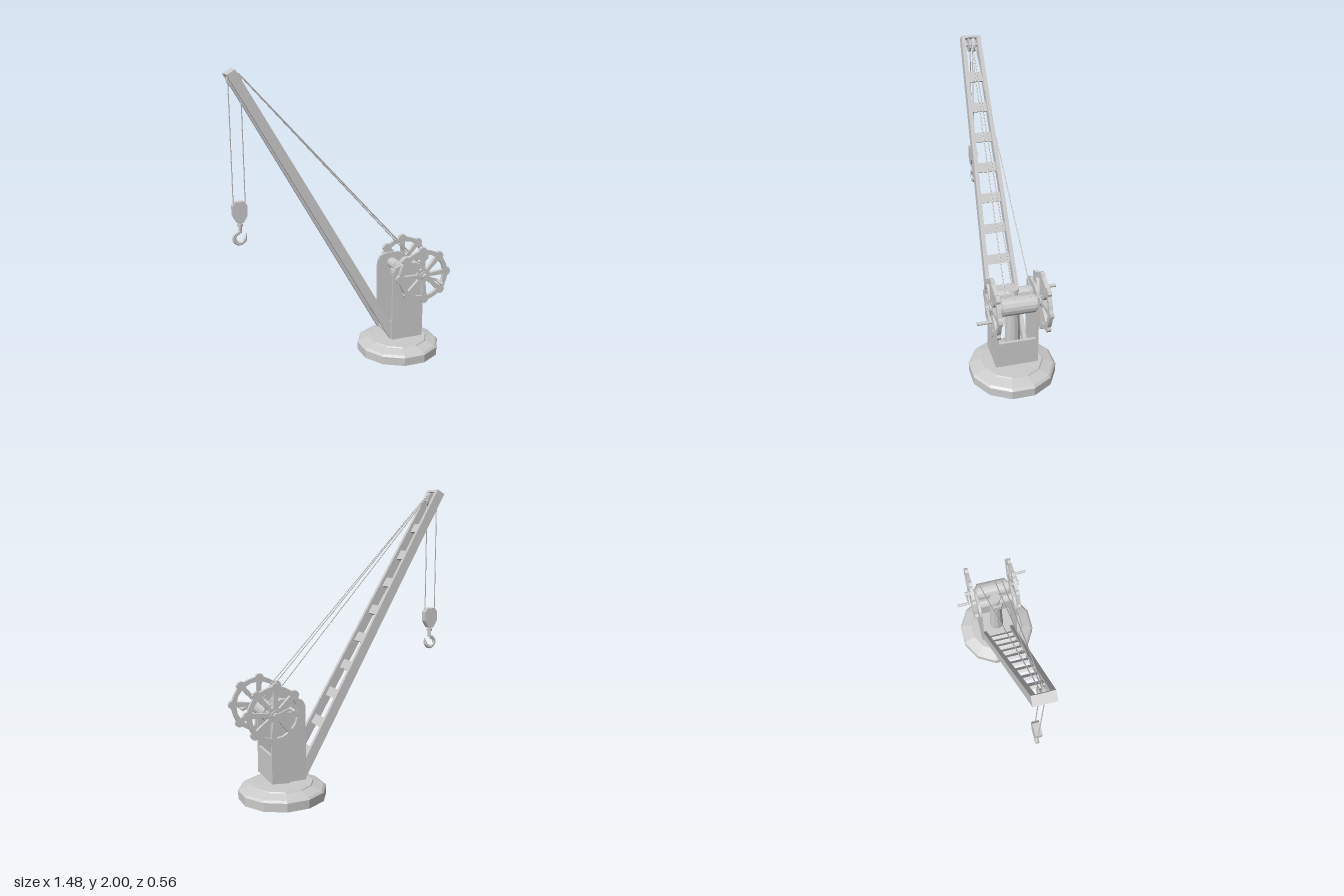
import * as THREE from 'three';

const mat = new THREE.MeshStandardMaterial({ color: 0xcccccc, flatShading: true, side: THREE.DoubleSide });
const V = (x, y, z) => new THREE.Vector3(x, y, z);
const pts = (list) => list.map(([x, y]) => new THREE.Vector2(x, y));

export function createModel() {
  const crane = new THREE.Group();
  crane.name = 'deckCrane';

  const add = (name, geo, x = 0, y = 0, z = 0, parent = crane) => {
    const m = new THREE.Mesh(geo, mat);
    m.name = name;
    m.position.set(x, y, z);
    parent.add(m);
    return m;
  };
  const box = (name, w, h, d, x, y, z, parent) => add(name, new THREE.BoxGeometry(w, h, d), x, y, z, parent);
  // Round bar between two points
  const rod = (name, a, b, r, sides = 8, r2 = r, parent = crane) => {
    const dir = b.clone().sub(a);
    const m = add(name, new THREE.CylinderGeometry(r2, r, dir.length(), sides), 0, 0, 0, parent);
    m.position.copy(a).add(b).multiplyScalar(0.5);
    m.quaternion.setFromUnitVectors(V(0, 1, 0), dir.normalize());
    return m;
  };
  // Flat plate, centred on its own z
  const plate = (shape, depth, segs = 6) =>
    new THREE.ExtrudeGeometry(shape, { depth, bevelEnabled: false, curveSegments: segs }).translate(0, 0, -depth / 2);

  // Hollow twelve-sided base and mast
  const px = 0.43;
  const base = add('base', new THREE.LatheGeometry(pts([
    [0, 0.06], [0.25, 0.05], [0.272, 0], [0.29, 0], [0.29, 0.057], [0.275, 0.07], [0.205, 0.09], [0.2, 0.097], [0, 0.1],
  ]), 12), px);
  base.rotation.y = Math.PI / 12;
  rod('pivotCollar', V(px, 0.045, 0), V(px, 0.15, 0), 0.055, 12);
  rod('mast', V(px, 0.14, 0), V(px, 0.6, 0), 0.055, 12, 0.041);
  rod('mastNut', V(px, 0.56, 0), V(px, 0.6, 0), 0.065, 6);
  rod('mastCap', V(px, 0.6, 0), V(px, 0.65, 0), 0.045, 12, 0.038);

  // Housing: floor, rear panel and two cheeks with rounded tops
  box('housingFloor', 0.23, 0.02, 0.27, 0.435, 0.15, 0);
  box('rearPanel', 0.02, 0.18, 0.27, 0.54, 0.23, 0);
  const cheek = new THREE.Shape(pts([
    [0.32, 0.14], [0.55, 0.14], [0.55, 0.63], [0.53, 0.667], [0.48, 0.685], [0.39, 0.685], [0.34, 0.667], [0.32, 0.63],
  ]));
  for (const s of [1, -1]) add(s > 0 ? 'leftCheek' : 'rightCheek', plate(cheek, 0.018), 0, 0, s * 0.131);
  rod('crossShaft', V(px, 0.61, -0.125), V(px, 0.61, 0.125), 0.038, 12);

  // Boom: two tapering rails
  const halfWidth = (y) => 0.122 - 0.056 * (y - 0.14) / 1.86;
  const railShape = new THREE.Shape(pts([[0.315, 0.14], [0.382, 0.15], [-0.688, 2.0], [-0.74, 1.97]]));
  for (const s of [1, -1]) {
    const geo = plate(railShape, 0.027);
    const p = geo.attributes.position;
    for (let i = 0; i < p.count; i++) p.setZ(i, p.getZ(i) + s * (halfWidth(p.getY(i)) - 0.0135));
    geo.computeVertexNormals();
    add(s > 0 ? 'leftBoomRail' : 'rightBoomRail', geo);
  }
  // Rungs between the rails
  for (let i = 0; i < 9; i++) {
    const x = -0.57 + i * 0.1045, y = 1.738 - i * 0.181;
    box('boomRung', 0.02, 0.065, 2 * halfWidth(y) - 0.04, x, y, 0).rotation.z = Math.PI / 6;
  }
  box('boomEndCap', 0.058, 0.016, 0.125, -0.71, 1.978, 0).rotation.z = Math.PI / 6;

  // Grooved sheave on its pin at the tip
  const tip = { x: -0.683, y: 1.935 };
  add('tipSheave', new THREE.LatheGeometry(pts([
    [0, -0.022], [0.046, -0.022], [0.046, -0.014], [0.036, 0], [0.046, 0.014], [0.046, 0.022], [0, 0.022],
  ]), 14).rotateX(Math.PI / 2), tip.x, tip.y, 0);
  rod('sheavePin', V(tip.x, tip.y, -0.06), V(tip.x, tip.y, 0.06), 0.012);

  // Hoist ropes and the lines back to the drum
  for (const s of [1, -1]) rod('hoistRope', V(tip.x + s * 0.038, tip.y, 0), V(tip.x + s * 0.038, 1.13, 0), 0.0035, 6);
  for (const [z0, z1] of [[-0.012, -0.088], [0.003, 0.03], [0.012, 0.082]])
    rod('drumRope', V(-0.655, 1.972, z0), V(0.555, 0.65, z1), 0.0035, 6);

  // Hook block, swivel and hook
  const block = new THREE.Shape(pts([
    [-0.02, 1.055], [0.02, 1.055], [0.046, 1.1], [0.047, 1.165], [0.03, 1.19], [-0.03, 1.19], [-0.047, 1.165], [-0.046, 1.1],
  ]));
  add('hookBlock', plate(block, 0.046), tip.x);
  rod('hookSwivel', V(tip.x, 1.03, 0), V(tip.x, 1.045, 0), 0.02);
  rod('hookShank', V(tip.x, 0.985, 0), V(tip.x, 1.06, 0), 0.011);
  add('hook', new THREE.TorusGeometry(0.036, 0.013, 6, 14, 4.4).rotateZ(Math.PI / 2), -0.688, 0.952, 0);
  rod('hookTip', V(-0.654, 0.94, 0), V(-0.643, 0.98, 0), 0.013, 6, 0.003);

  // Winch drum and axle
  const wx = 0.535, wy = 0.597;
  rod('drum', V(wx, 0.59, -0.108), V(wx, 0.59, 0.108), 0.06, 16);
  for (const s of [1, -1]) rod('drumFlange', V(wx, 0.59, s * 0.106), V(wx, 0.59, s * 0.122), 0.045, 16);
  rod('winchAxle', V(wx, wy, -0.2), V(wx, wy, 0.2), 0.014);

  // Spoked wheel outline with eight rounded lobes
  const n = 8;
  const polar = (r, a) => [r * Math.cos(a), r * Math.sin(a)];
  const outline = [];
  for (let i = 0; i < n; i++)
    for (const [r, f] of [[0.18, -0.4], [0.182, -0.2], [0.198, -0.13], [0.203, 0], [0.198, 0.13], [0.182, 0.2], [0.18, 0.4]])
      outline.push(polar(r, (i + f) * Math.PI * 2 / n + 0.06));
  const wheel = new THREE.Shape(pts(outline));
  for (let i = 0; i < n; i++) {
    const a = (i + 0.5) * Math.PI * 2 / n + 0.06;
    wheel.holes.push(new THREE.Path(pts([
      polar(0.048, a - 0.16), polar(0.15, a - 0.28), polar(0.152, a), polar(0.15, a + 0.28), polar(0.048, a + 0.16),
    ])));
  }
  const wheelGeo = plate(wheel, 0.025);

  // Wheels with opposed cranks on both sides
  for (const s of [1, -1]) {
    const side = new THREE.Group();
    side.name = s > 0 ? 'leftWinchWheel' : 'rightWinchWheel';
    side.position.set(wx, wy, 0);
    crane.add(side);
    add('wheel', wheelGeo, 0, 0, s * 0.16, side);
    rod('hub', V(0, 0, s * 0.138), V(0, 0, s * 0.182), 0.032, 12, 0.032, side);
    const hx = s * 0.092, hy = s * -0.038;
    box('crankArm', 0.115, 0.018, 0.012, hx / 2, hy / 2, s * 0.196, side).rotation.z = Math.atan2(hy, hx) + (s < 0 ? Math.PI : 0);
    rod('crankBoss', V(0, 0, s * 0.182), V(0, 0, s * 0.205), 0.019, 8, 0.019, side);
    rod('crankHandle', V(hx, hy, s * 0.19), V(hx, hy, s * 0.28), 0.011, 8, 0.011, side);
  }
  return crane;
}
